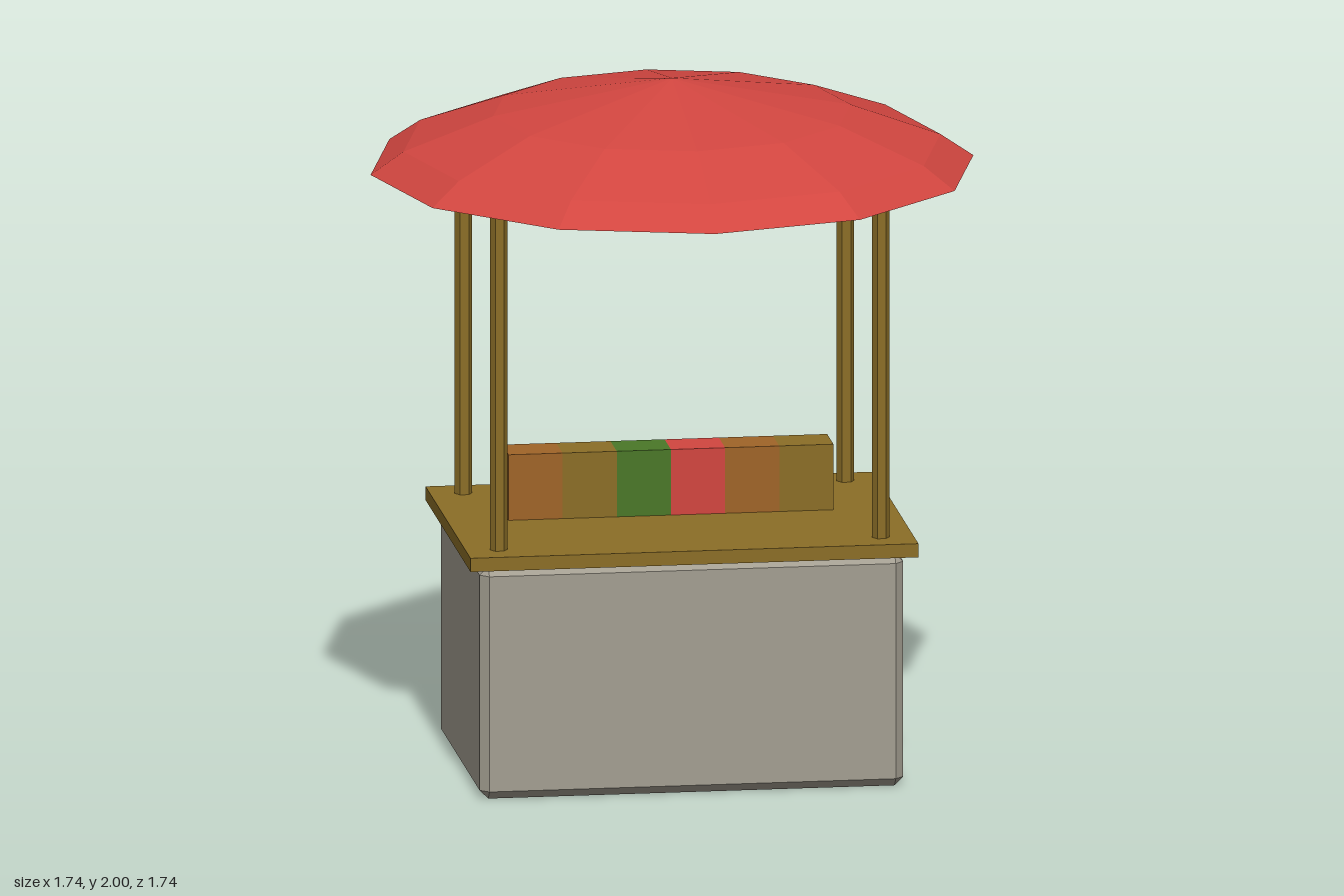
import * as THREE from 'three';
import { ConvexGeometry } from 'three/addons/geometries/ConvexGeometry.js';

const mat = (name, color) => {
  const m = new THREE.MeshStandardMaterial({ color });
  m.name = name;
  m.flatShading = true;
  return m;
};

// Box with flat chamfers on every edge
function chamferBox(hx, hy, hz, c) {
  const pts = [];
  for (const x of [-1, 1]) for (const y of [-1, 1]) for (const z of [-1, 1]) {
    pts.push(
      new THREE.Vector3(x * hx, y * (hy - c), z * (hz - c)),
      new THREE.Vector3(x * (hx - c), y * hy, z * (hz - c)),
      new THREE.Vector3(x * (hx - c), y * (hy - c), z * hz)
    );
  }
  return new ConvexGeometry(pts);
}

export function createModel() {
  const red = mat('red', 0xd24640);
  const wood = mat('wood', 0x8b6e27);
  const stone = mat('stone grey', 0xa39e91);
  const green = mat('green', 0x4b7828);
  const orange = mat('orange brown', 0xa06528);

  const group = new THREE.Group();
  group.name = 'marketStall';
  const add = (name, geometry, material, x, y, z) => {
    const mesh = new THREE.Mesh(geometry, material);
    mesh.name = name;
    mesh.position.set(x, y, z);
    group.add(mesh);
    return mesh;
  };

  // Chamfered base and overhanging counter
  add('base', chamferBox(0.61, 0.34, 0.415, 0.025), stone, 0, 0.34, 0);
  add('counter', new THREE.BoxGeometry(1.29, 0.04, 0.905), wood, 0, 0.7, 0);

  // Hexagonal corner poles
  const poleGeo = new THREE.CylinderGeometry(0.025, 0.025, 1.03, 6).rotateY(Math.PI / 2);
  for (const x of [-0.55, 0.55]) for (const z of [-0.355, 0.355]) {
    add('pole', poleGeo, wood, x, 1.23, z);
  }

  // Row of goods crates
  const w = 0.156;
  const crateGeo = new THREE.BoxGeometry(w, 0.192, 0.128);
  [orange, wood, green, red, orange, wood].forEach((m, i) => {
    add('crate', crateGeo, m, -0.471 + w * (i + 0.5), 0.816, -0.064);
  });

  // Twelve-sided domed canopy, closed flat underneath
  const profile = [[0, 1.745], [0.868, 1.745], [0.773, 1.81], [0.515, 1.905], [0, 2]]
    .map(([r, y]) => new THREE.Vector2(r, y));
  add('canopy', new THREE.LatheGeometry(profile, 12), red, 0, 0, 0);

  return group;
}
